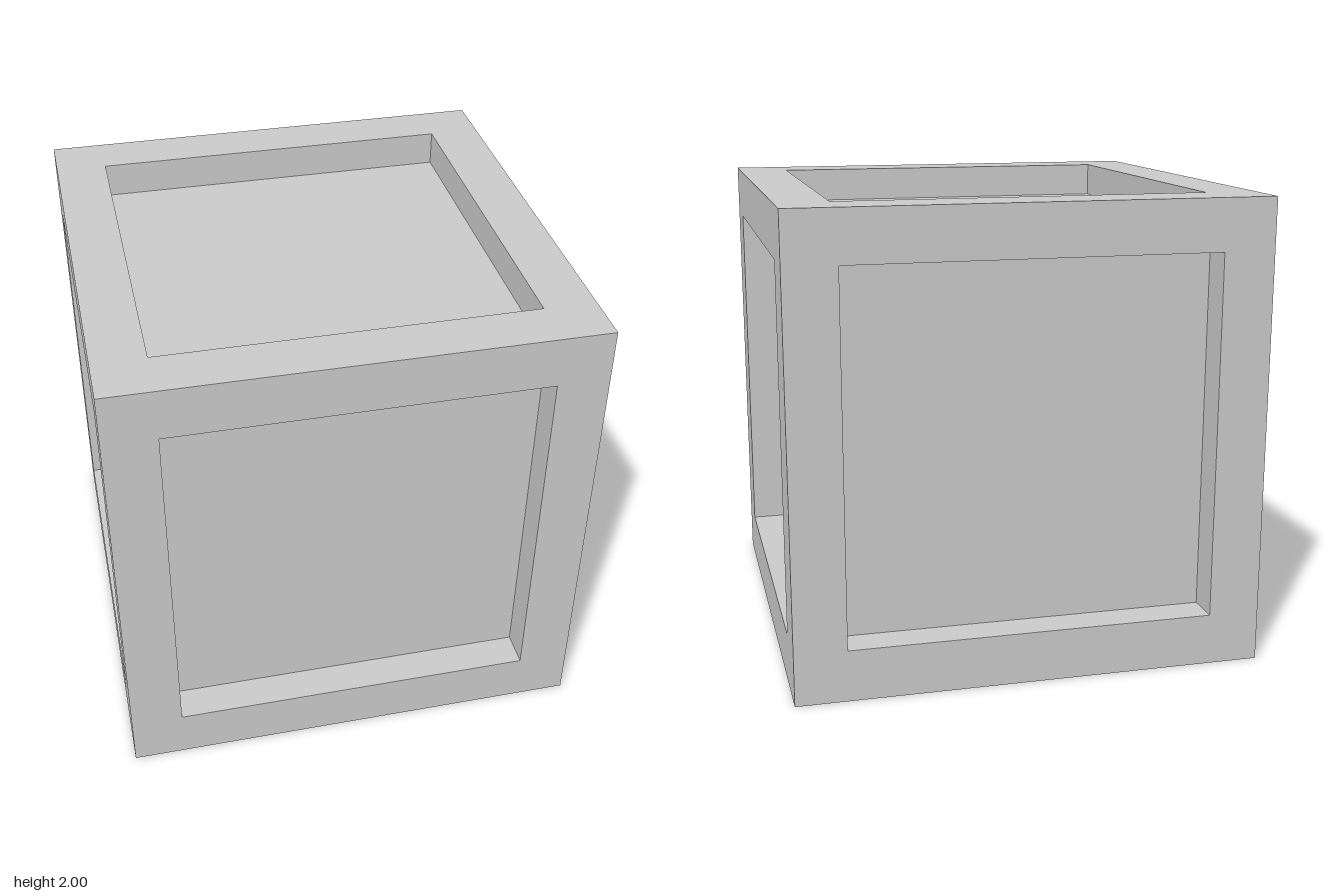
import * as THREE from 'three';
import { mergeGeometries } from 'three/addons/utils/BufferGeometryUtils.js';

const HALF = 1;       // half the crate's edge length
const OPENING = 0.78; // half the width of each recessed panel
const DEPTH = 0.15;   // how far the panels are set in

// Flat square border around one panel
function frameGeometry() {
  const square = (path, r) =>
    path.moveTo(-r, -r).lineTo(r, -r).lineTo(r, r).lineTo(-r, r).closePath();
  const shape = square(new THREE.Shape(), HALF);
  shape.holes.push(square(new THREE.Path(), OPENING));
  return new THREE.ShapeGeometry(shape).translate(0, 0, HALF);
}

// Four walls leading from the border down to the panel
function recessGeometry() {
  const walls = [];
  for (let i = 0; i < 4; i++) {
    walls.push(new THREE.PlaneGeometry(OPENING * 2, DEPTH)
      .rotateX(-Math.PI / 2)
      .translate(0, -OPENING, HALF - DEPTH / 2)
      .rotateZ(i * Math.PI / 2));
  }
  return mergeGeometries(walls);
}

export function createModel() {
  const crate = new THREE.Group();
  crate.name = 'crate';
  const material = new THREE.MeshStandardMaterial({ color: 0xcccccc });
  const parts = {
    Frame: frameGeometry(),
    RecessWalls: recessGeometry(),
    Panel: new THREE.PlaneGeometry(OPENING * 2, OPENING * 2).translate(0, 0, HALF - DEPTH),
  };

  // The same side turned to face all six directions
  const q = Math.PI / 2;
  const sides = {
    front: [0, 0], left: [0, q], back: [0, 2 * q], right: [0, -q],
    top: [-q, 0], bottom: [q, 0],
  };
  for (const [sideName, [rx, ry]] of Object.entries(sides)) {
    const side = new THREE.Group();
    side.name = sideName + 'Side';
    for (const [partName, geometry] of Object.entries(parts)) {
      const mesh = new THREE.Mesh(geometry, material);
      mesh.name = sideName + partName;
      side.add(mesh);
    }
    side.rotation.set(rx, ry, 0);
    side.position.y = HALF;
    crate.add(side);
  }
  return crate;
}
